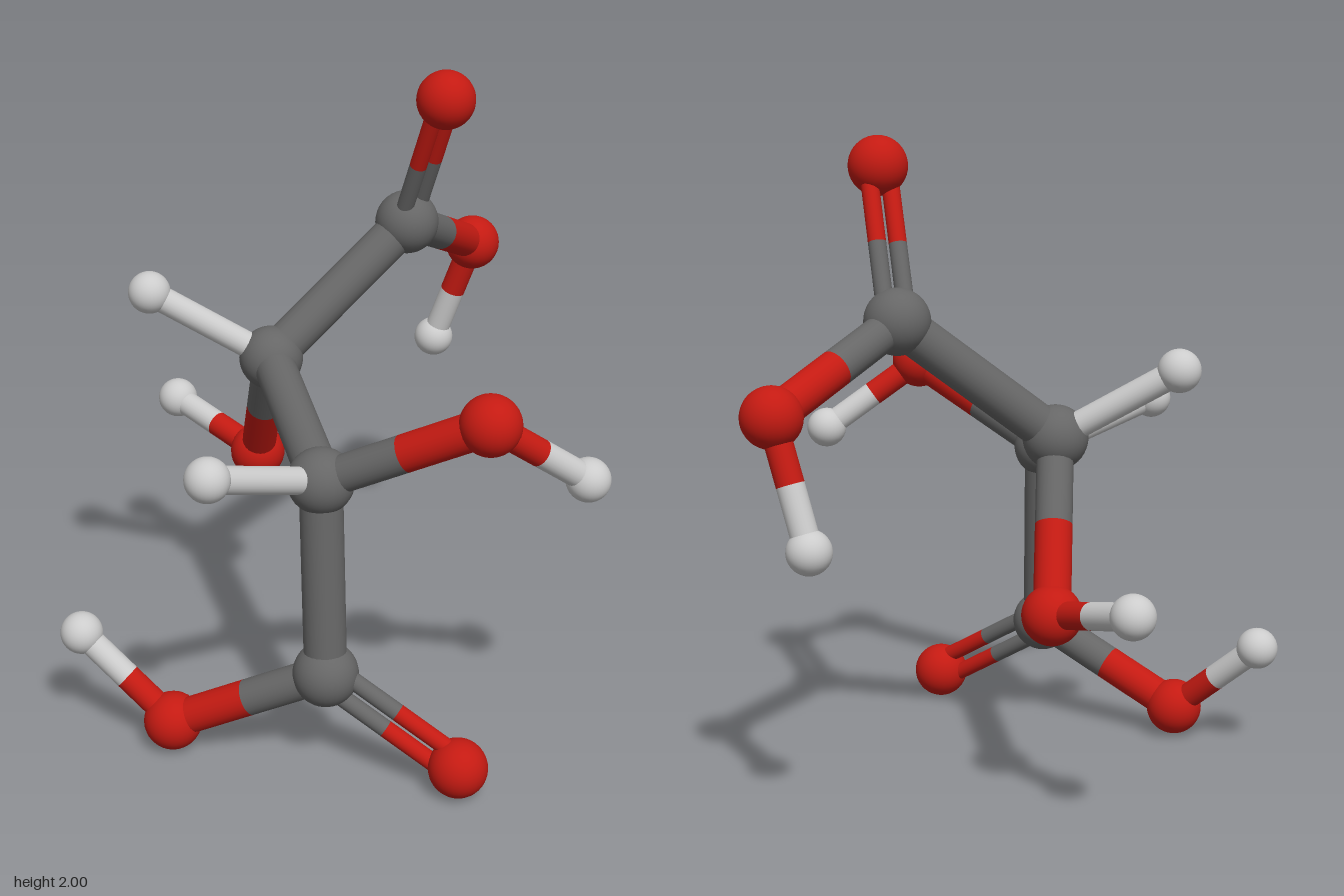
import * as THREE from 'three';

// atom kinds: sphere radius and colour
const KINDS = {
  carbon: { r: 0.1, color: 0x666666 },
  oxygen: { r: 0.09, color: 0xc41a12 },
  hydrogen: { r: 0.066, color: 0xcccccc },
};

const ATOMS = {
  upperAcidCarbon: ['carbon', 0.38, 1.47, -0.277],
  upperCarbon: ['carbon', -0.082, 1.1, -0.132],
  lowerCarbon: ['carbon', -0.04, 0.955, 0.47],
  lowerAcidCarbon: ['carbon', -0.034, 0.34, 0.526],
  upperDoubleOxygen: ['oxygen', 0.448, 1.912, -0.09],
  upperAcidOxygen: ['oxygen', 0.7, 1.252, -0.653],
  upperAcidHydrogen: ['hydrogen', 0.593, 0.887, -0.73],
  upperHydrogen: ['hydrogen', -0.45, 1.316, -0.204],
  upperOxygen: ['oxygen', -0.076, 0.632, -0.45],
  upperOxygenHydrogen: ['hydrogen', -0.304, 0.714, -0.755],
  lowerHydrogen: ['hydrogen', -0.399, 1.085, 0.672],
  lowerOxygen: ['oxygen', 0.393, 1.204, 0.715],
  lowerOxygenHydrogen: ['hydrogen', 0.707, 0.981, 0.656],
  lowerDoubleOxygen: ['oxygen', 0.328, 0.097, 0.733],
  lowerAcidOxygen: ['oxygen', -0.474, 0.102, 0.325],
  lowerAcidHydrogen: ['hydrogen', -0.732, 0.351, 0.168],
};

// single bonds: from, to, radius
const BONDS = [
  ['upperAcidCarbon', 'upperCarbon', 0.065],
  ['upperCarbon', 'lowerCarbon', 0.065],
  ['lowerCarbon', 'lowerAcidCarbon', 0.065],
  ['upperAcidCarbon', 'upperAcidOxygen', 0.056],
  ['upperCarbon', 'upperOxygen', 0.056],
  ['lowerCarbon', 'lowerOxygen', 0.056],
  ['lowerAcidCarbon', 'lowerAcidOxygen', 0.056],
  ['upperAcidOxygen', 'upperAcidHydrogen', 0.041],
  ['upperOxygen', 'upperOxygenHydrogen', 0.041],
  ['lowerOxygen', 'lowerOxygenHydrogen', 0.041],
  ['lowerAcidOxygen', 'lowerAcidHydrogen', 0.041],
  ['upperCarbon', 'upperHydrogen', 0.041],
  ['lowerCarbon', 'lowerHydrogen', 0.041],
];

// double bonds: carbon, oxygen, neighbour that fixes the plane of the pair
const DOUBLE_BONDS = [
  ['upperAcidCarbon', 'upperDoubleOxygen', 'upperCarbon'],
  ['lowerAcidCarbon', 'lowerDoubleOxygen', 'lowerCarbon'],
];

export function createModel() {
  const model = new THREE.Group();
  const materials = {};
  for (const kind in KINDS) materials[kind] = new THREE.MeshStandardMaterial({ color: KINDS[kind].color });
  const at = (name) => new THREE.Vector3(...ATOMS[name].slice(1));

  function rod(a, b, radius, kind, name) {
    const dir = b.clone().sub(a);
    const mesh = new THREE.Mesh(
      new THREE.CylinderGeometry(radius, radius, dir.length(), 24, 1, true), materials[kind]);
    mesh.position.copy(a).add(b).multiplyScalar(0.5);
    mesh.quaternion.setFromUnitVectors(new THREE.Vector3(0, 1, 0), dir.normalize());
    mesh.name = name;
    model.add(mesh);
  }

  // a bond takes each atom's colour up to its middle; carbon-hydrogen bonds are all light
  function bond(from, to, radius, offset = new THREE.Vector3()) {
    const a = at(from).add(offset), b = at(to).add(offset);
    const kindA = ATOMS[from][0], kindB = ATOMS[to][0];
    const name = `${from}To${to[0].toUpperCase()}${to.slice(1)}Bond`;
    if (kindA === kindB || (kindA === 'carbon' && kindB === 'hydrogen')) {
      rod(a, b, radius, kindB, name);
    } else {
      const mid = a.clone().lerp(b, 0.5);
      rod(a, mid, radius, kindA, name + 'Start');
      rod(mid, b, radius, kindB, name + 'End');
    }
  }

  // atoms
  for (const [name, [kind, x, y, z]] of Object.entries(ATOMS)) {
    const ball = new THREE.Mesh(new THREE.SphereGeometry(KINDS[kind].r, 32, 20), materials[kind]);
    ball.position.set(x, y, z);
    ball.name = name;
    model.add(ball);
  }

  // single bonds
  for (const [from, to, radius] of BONDS) bond(from, to, radius);

  // double bonds: two thin rods side by side in the plane of the acid group
  for (const [from, to, neighbour] of DOUBLE_BONDS) {
    const dir = at(to).sub(at(from)).normalize();
    const side = at(neighbour).sub(at(from));
    side.addScaledVector(dir, -side.dot(dir)).normalize();
    for (const s of [-1, 1]) bond(from, to, 0.027, side.clone().multiplyScalar(s * 0.035));
  }
  return model;
}
